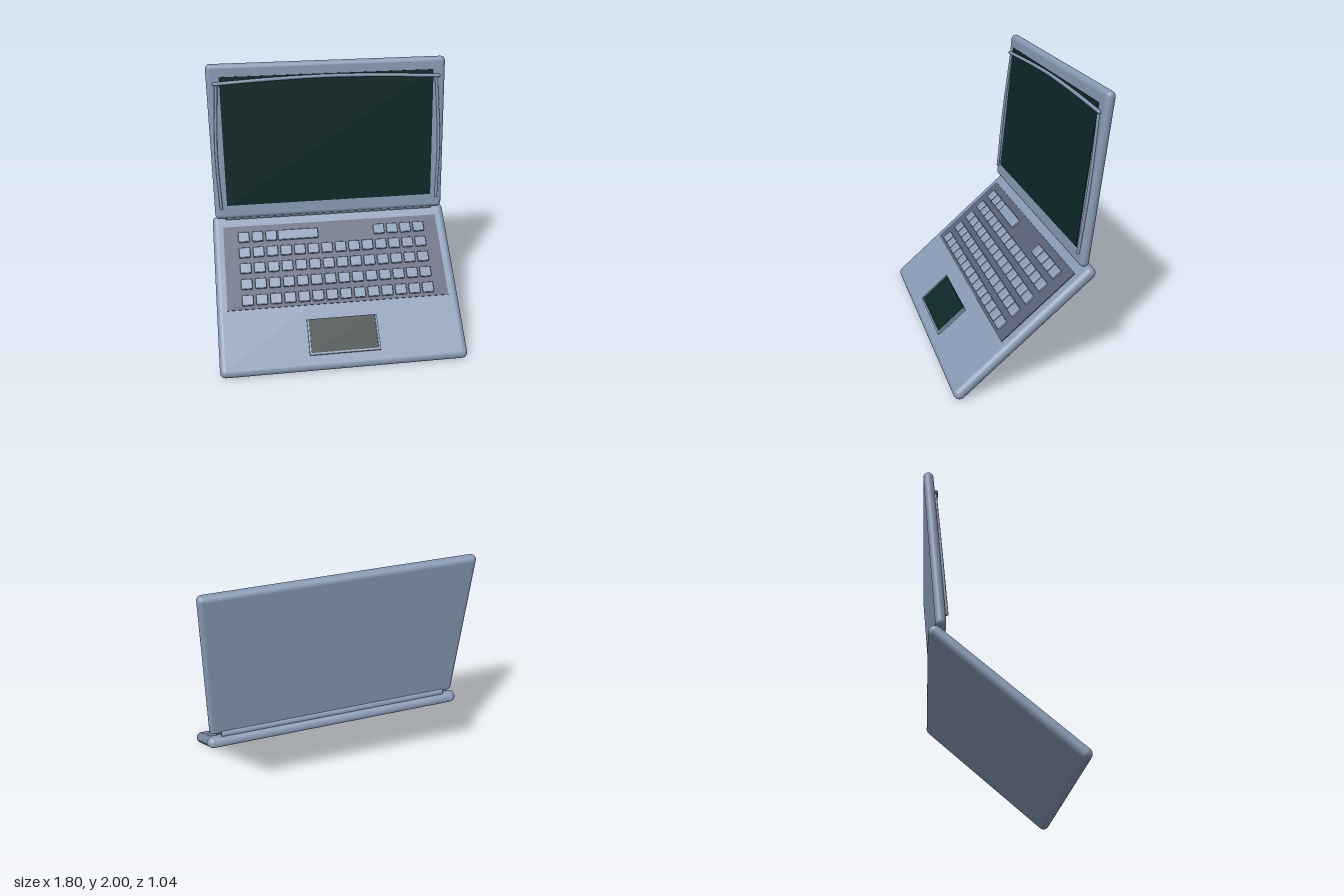
import * as THREE from 'three';
import { RoundedBoxGeometry } from 'three/addons/geometries/RoundedBoxGeometry.js';

const material = (name, color) => {
  const m = new THREE.MeshStandardMaterial({ color });
  m.name = name;
  return m;
};

export function createModel() {
  const shell = material('blue grey shell', 0x8798b3);
  const deckMat = material('dark slate deck', 0x565f75);
  const glass = material('dark green glass', 0x0d2626);

  const add = (parent, name, geometry, mat, x = 0, y = 0, z = 0) => {
    const mesh = new THREE.Mesh(geometry, mat);
    mesh.name = name;
    mesh.position.set(x, y, z);
    parent.add(mesh);
    return mesh;
  };
  const box = (w, h, d) => new THREE.BoxGeometry(w, h, d);
  const model = new THREE.Group();
  model.name = 'laptop';

  // Tilted base; local y is the normal of the keyboard side
  const base = new THREE.Group();
  base.name = 'base';
  base.position.set(0, 0.4175, 0.035);
  base.rotation.x = THREE.MathUtils.degToRad(40.3);
  model.add(base);
  const top = 0.042;
  add(base, 'baseShell', new RoundedBoxGeometry(1.8, 0.084, 1.245, 5, 0.0419), shell);
  add(base, 'keyboardDeck', box(1.645, 0.008, 0.658), deckMat, 0, top + 0.002, -0.181);

  // Keys: five rows of fourteen columns, the back row has a wide key and a gap
  const pitch = 0.1035;
  const keyGeometry = new RoundedBoxGeometry(0.083, 0.034, 0.078, 2, 0.008);
  const keyHeight = top + 0.013;
  for (let row = 0; row < 5; row++) {
    const z = -0.415 + row * 0.1245;
    for (let col = 0; col < 14; col++) {
      if (row === 0 && col > 2 && col < 10) continue;
      add(base, 'key', keyGeometry, shell, (col - 6.5) * pitch, keyHeight, z);
    }
  }
  add(base, 'wideKey', new RoundedBoxGeometry(0.305, 0.034, 0.078, 2, 0.008), shell, -0.262, keyHeight, -0.415);

  // Touchpad with a raised three-sided border
  add(base, 'touchpad', box(0.486, 0.009, 0.25), glass, 0, top + 0.008, 0.384);
  for (const s of [-1, 1]) {
    add(base, 'touchpadSide', box(0.014, 0.02, 0.265), shell, s * 0.251, top + 0.008, 0.391);
  }
  add(base, 'touchpadFront', box(0.516, 0.02, 0.014), shell, 0, top + 0.008, 0.517);

  // Hinge between base and lid
  const hinge = add(model, 'hinge', new THREE.CylinderGeometry(0.03, 0.03, 1.6, 20), shell, 0, 0.845, -0.392);
  hinge.rotation.z = Math.PI / 2;

  // Lid; local z is the normal of the display side
  const lid = new THREE.Group();
  lid.name = 'lid';
  lid.position.set(0, 1.42, -0.43);
  lid.rotation.x = THREE.MathUtils.degToRad(-5.86);
  model.add(lid);
  const face = 0.034;
  add(lid, 'lidShell', new RoundedBoxGeometry(1.75, 1.166, 0.068, 5, 0.0339), shell);
  add(lid, 'display', box(1.565, 0.966, 0.006), glass, 0, 0.01, face + 0.001);

  // Curved rods around the display
  const rod = (name, points, radius) => {
    const curve = new THREE.CatmullRomCurve3(points.map((p) => new THREE.Vector3(...p)));
    add(lid, name, new THREE.TubeGeometry(curve, 24, radius, 8), shell);
    for (const p of [points[0], points[points.length - 1]]) {
      add(lid, name + 'End', new THREE.SphereGeometry(radius, 10, 8), shell, ...p);
    }
  };
  for (const s of [-1, 1]) {
    rod('sideRod', [
      [s * 0.826, -0.49, face + 0.008],
      [s * 0.836, -0.05, face + 0.006],
      [s * 0.805, 0.445, face + 0.004],
    ], 0.011);
  }
  rod('topRod', [
    [-0.82, 0.446, face + 0.01],
    [-0.42, 0.466, face + 0.01],
    [0, 0.476, face + 0.01],
    [0.42, 0.466, face + 0.01],
    [0.82, 0.446, face + 0.01],
  ], 0.013);

  return model;
}
